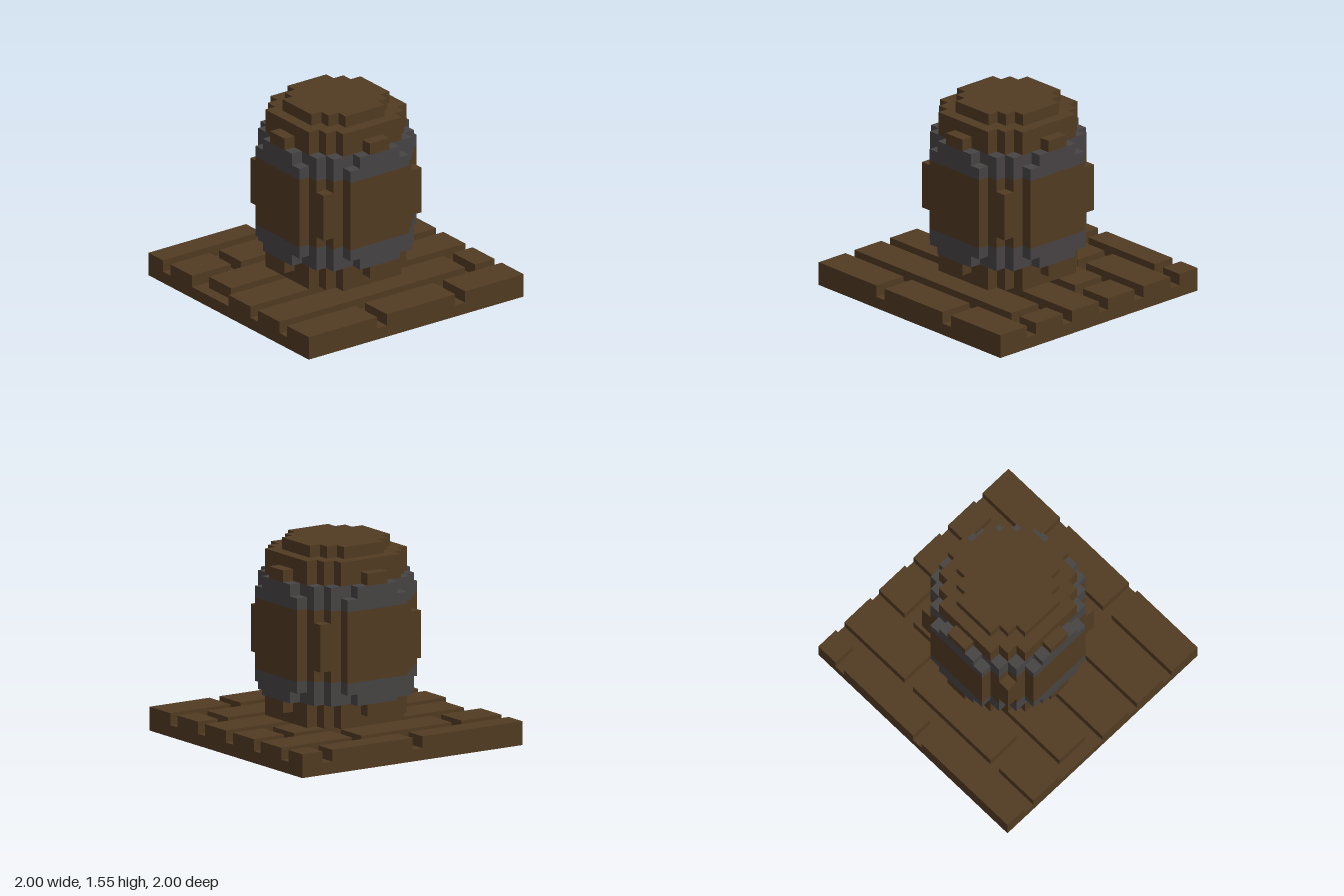
import * as THREE from 'three';

const U = 2 / 22; // one block

const wood = new THREE.MeshStandardMaterial({ color: 0x523b22 });
wood.name = 'dark wood';
const iron = new THREE.MeshStandardMaterial({ color: 0x474344 });
iron.name = 'iron grey';

function add(parent, geometry, material, name) {
  const mesh = new THREE.Mesh(geometry, material);
  mesh.name = name;
  parent.add(mesh);
  return mesh;
}

// Box given by its corner and size in blocks, counted from the floor's back right corner
function block(parent, x, y, z, w, h, d, name) {
  const mesh = add(parent, new THREE.BoxGeometry(w * U, h * U, d * U), wood, name);
  mesh.position.set((x + w / 2 - 11) * U, (y + h / 2) * U, (z + d / 2 - 11) * U);
}

// Stepped disc: rows holds the half width of each row of blocks outward from the centre
function steppedDisc(rows, height) {
  const quarter = [];
  rows.forEach((half, r) => {
    if (r === 0) return;
    if (half !== rows[r - 1]) quarter.push([rows[r - 1], r], [half, r]);
  });
  quarter.push([rows[rows.length - 1], rows.length]);
  const back = [...quarter].reverse();
  const points = [
    ...quarter,
    ...back.map(([x, y]) => [-x, y]),
    ...quarter.map(([x, y]) => [-x, -y]),
    ...back.map(([x, y]) => [x, -y]),
  ].map(([x, y]) => new THREE.Vector2(x * U, y * U));
  const geometry = new THREE.ExtrudeGeometry(new THREE.Shape(points), { depth: height * U, bevelEnabled: false });
  return geometry.rotateX(-Math.PI / 2);
}

export function createModel() {
  const model = new THREE.Group();
  model.name = 'barrelOnFloor';

  // Floor: a slab with rows of planks, one block apart
  const floor = new THREE.Group();
  floor.name = 'floor';
  model.add(floor);
  block(floor, 0, 0, 0, 22, 1, 22, 'floorSlab');
  const plankRows = [ // first block, depth, joints between planks
    [0, 2, [10, 19]],
    [3, 3, [4, 14]],
    [7, 3, [0, 18]],
    [11, 3, []],
    [15, 3, [19]],
    [19, 3, [7, 15]],
  ];
  for (const [z, depth, joints] of plankRows) {
    let x = 0;
    for (const joint of [...joints, 22]) {
      if (joint > x) block(floor, x, 1, z, joint - x, 1, depth, 'plank');
      x = joint + 1;
    }
  }

  // Barrel: stacked stepped discs
  const barrel = new THREE.Group();
  barrel.name = 'barrel';
  model.add(barrel);
  const neck = [5, 5, 5, 4, 3];
  const shoulder = [6, 5, 5, 4, 3, 1];
  const hoopEdge = [6, 6, 5, 5, 4, 2];
  const body = [6, 6, 6, 5, 4, 3];
  const belly = [6, 6, 6, 5, 5, 3];
  const layers = [ // bottom, height, outline, material, name
    [2, 1, neck, wood, 'barrelFoot'],
    [3, 1, shoulder, wood, 'lowerShoulder'],
    [4, 1, hoopEdge, iron, 'lowerHoopEdge'],
    [5, 1, body, iron, 'lowerHoop'],
    [6, 1, body, wood, 'lowerStaves'],
    [7, 4, belly, wood, 'bellyStaves'],
    [11, 1, body, wood, 'upperStaves'],
    [12, 1, body, iron, 'upperHoop'],
    [13, 1, hoopEdge, iron, 'upperHoopEdge'],
    [14, 1, shoulder, wood, 'upperShoulder'],
    [15, 1, neck, wood, 'barrelNeck'],
    [16, 1, [4, 4, 3, 2], wood, 'lid'],
  ];
  for (const [y, height, rows, material, name] of layers) {
    add(barrel, steppedDisc(rows, height), material, name).position.y = y * U;
  }

  return model;
}
